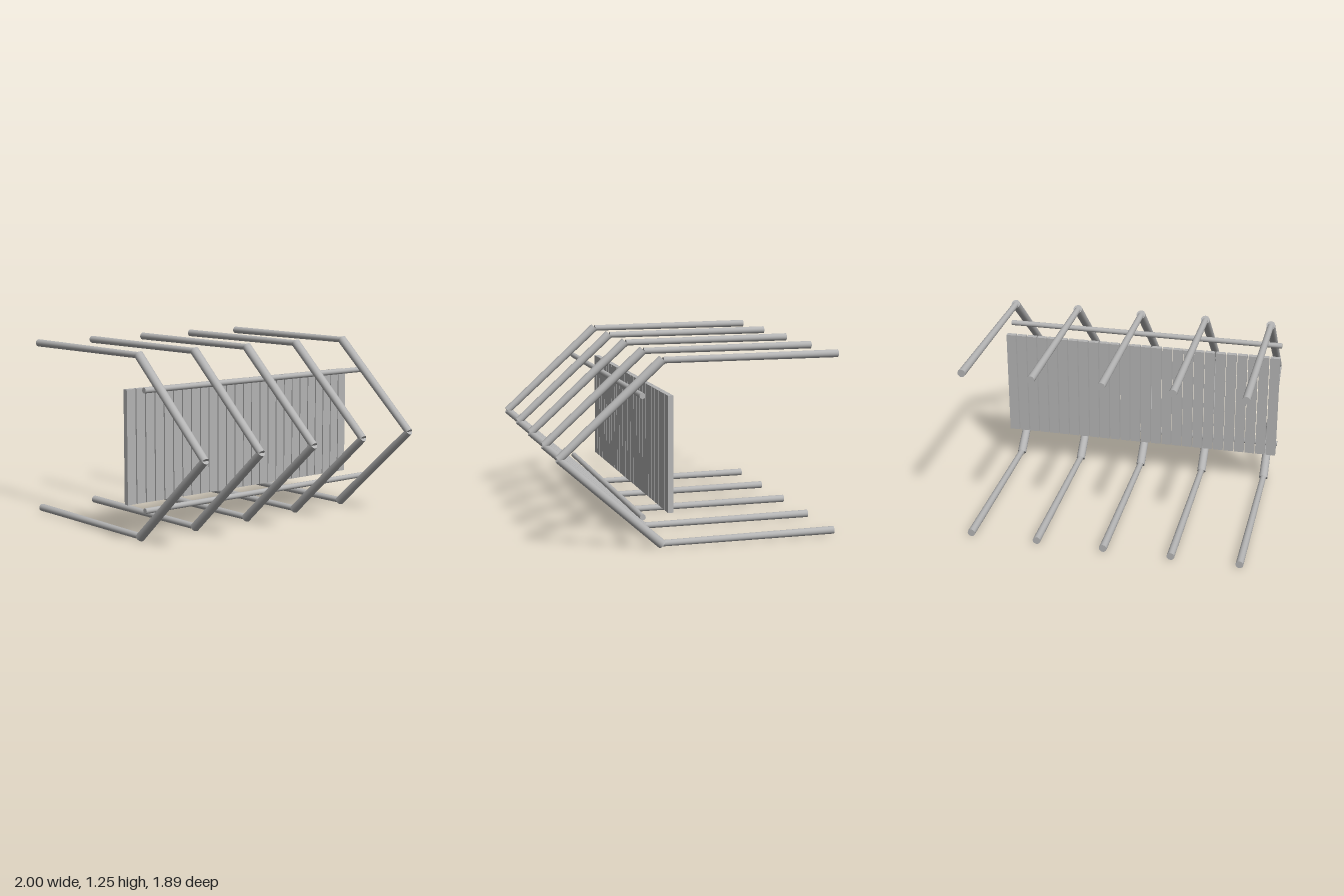
import * as THREE from 'three';

const grey = new THREE.MeshStandardMaterial({ color: 0xb4b4b4 });
grey.name = 'plain grey';

// Round bar between two points, with its own radius at each end
function bar(name, a, b, ra, rb) {
  const from = new THREE.Vector3(...a), to = new THREE.Vector3(...b);
  const dir = to.clone().sub(from);
  const mesh = new THREE.Mesh(new THREE.CylinderGeometry(rb, ra, dir.length(), 20), grey);
  mesh.name = name;
  mesh.position.copy(from).add(to).multiplyScalar(0.5);
  mesh.quaternion.setFromUnitVectors(new THREE.Vector3(0, 1, 0), dir.normalize());
  return mesh;
}

export function createModel() {
  const model = new THREE.Group();
  model.name = 'slattedFrame';

  // Five bent ribs: two sloping arms meeting at the front, two level arms to the back
  for (let i = -2; i <= 2; i++) {
    const rib = new THREE.Group();
    rib.name = 'rib';
    rib.position.x = i * 0.459;
    rib.add(
      bar('upperSlopingArm', [0, 0.623, 0.927], [0, 1.23, 0.25], 0.026, 0.031),
      bar('lowerSlopingArm', [0, 0.627, 0.927], [0, 0.024, 0.25], 0.026, 0.031),
      bar('upperLevelArm', [0, 1.225, 0.245], [0, 1.224, -0.945], 0.021, 0.026),
      bar('lowerLevelArm', [0, 0.031, 0.245], [0, 0.03, -0.945], 0.021, 0.026)
    );
    model.add(rib);
  }

  // Long rails running behind the sloping arms
  for (const [name, y] of [['upperRail', 1.016], ['lowerRail', 0.235]]) {
    model.add(bar(name, [-0.99, y, 0.402], [1, y, 0.402], 0.019, 0.019));
  }

  // Panel of upright slats
  const panel = new THREE.Group();
  panel.name = 'slatPanel';
  const slatShape = new THREE.BoxGeometry(0.068, 0.76, 0.036);
  for (let i = 0; i < 26; i++) {
    const slat = new THREE.Mesh(slatShape, grey);
    slat.name = 'slat';
    slat.position.set(-0.966 + i * 0.0765, 0.626, 0.212);
    panel.add(slat);
  }
  model.add(panel);
  return model;
}
